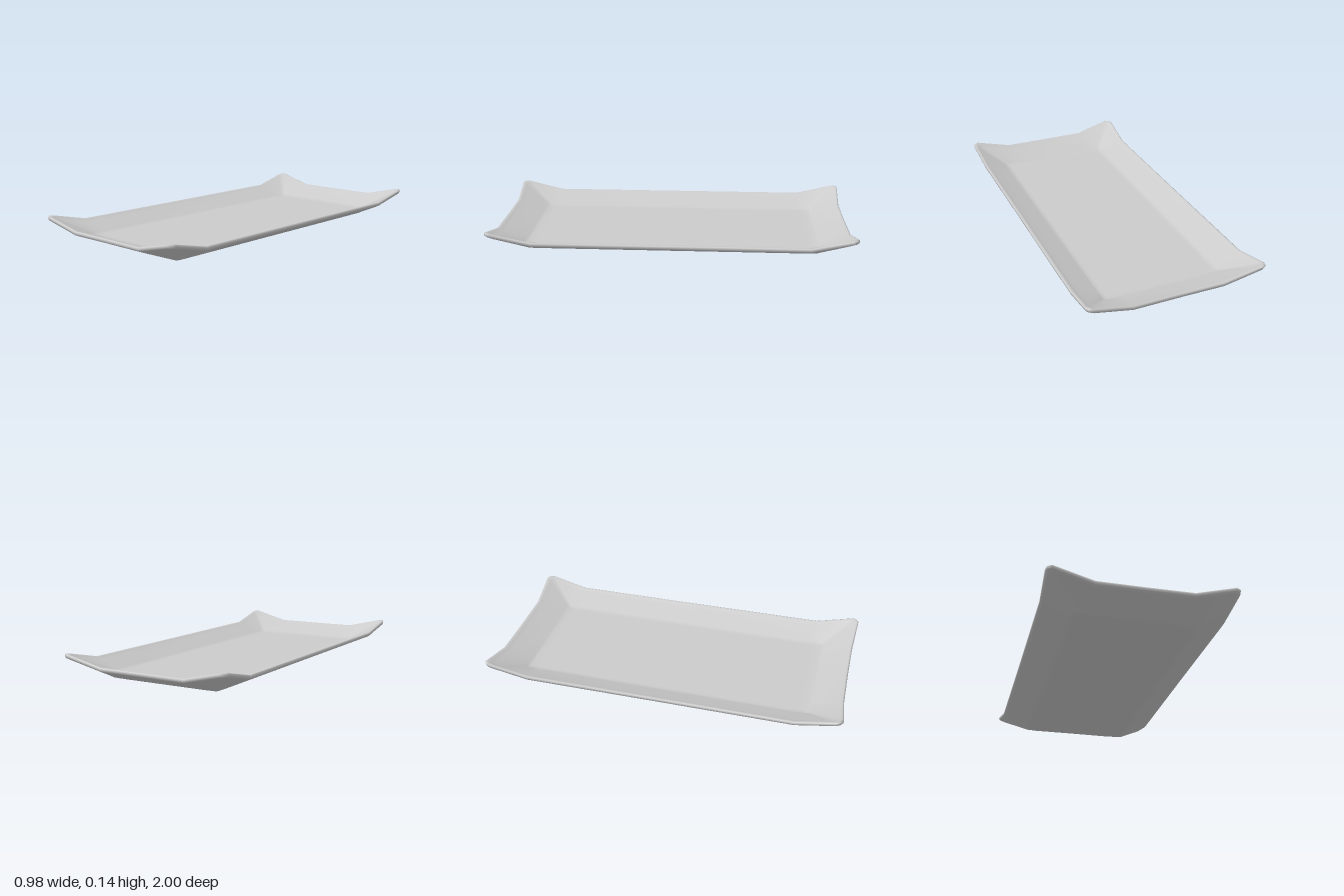
import * as THREE from 'three';

// One quarter of the outline: floor x, floor z, rim x, rim z, rim height
const QUARTER = [
  [0.32, 0, 0.482, 0, 0.095],
  [0.32, 0.74, 0.483, 0.75, 0.095],
  [0.32, 0.785, 0.492, 0.965, 0.145],
  [0.316, 0.796, 0.485, 0.985, 0.148],
  [0.305, 0.8, 0.463, 1.0, 0.147],
  [0.24, 0.8, 0.25, 0.987, 0.095],
  [0, 0.8, 0, 0.985, 0.095],
];

// Cross-section from underside centre, around the lip, to the inner floor centre:
// floor scale, blend from floor to rim, floor height, offset from rim height
const SECTION = [
  [0, 0, 0, 0],
  [0.95, 0, 0, 0],
  [1, 0.02, 0, -0.024],
  [1, 0.1, 0, -0.024],
  [1, 0.9, 0, -0.024],
  [1, 0.985, 0, -0.023],
  [1, 1, 0, -0.014],
  [1, 0.99, 0, -0.005],
  [1, 0.95, 0.03, 0],
  [1, 0.88, 0.03, 0],
  [1, 0.78, 0.03, -0.004],
  [1, 0.1, 0.03, -0.004],
  [1, 0.02, 0.03, -0.004],
  [0.95, 0, 0.03, 0],
  [0, 0, 0.03, 0],
];

// Mirrors the quarter into the full closed outline
function fullOutline() {
  const loop = [];
  for (const [sx, sz] of [[1, 1], [-1, 1], [-1, -1], [1, -1]]) {
    const part = QUARTER.map(([fx, fz, rx, rz, h]) => [fx * sx, fz * sz, rx * sx, rz * sz, h]);
    if (sx * sz < 0) part.reverse();
    loop.push(...part.slice(0, -1));
  }
  return loop;
}

function trayGeometry() {
  const outline = fullOutline();
  const n = outline.length;
  const lerp = THREE.MathUtils.lerp;
  const positions = [];
  const indices = [];
  SECTION.forEach(([scale, t, floorY, offset], j) => {
    outline.forEach(([fx, fz, rx, rz, h], i) => {
      positions.push(lerp(fx * scale, rx, t), lerp(floorY, h + offset, t), lerp(fz * scale, rz, t));
      if (j === SECTION.length - 1) return;
      const a = j * n + i;
      const b = j * n + (i + 1) % n;
      // The first and last bands close to a point
      if (j < SECTION.length - 2) indices.push(a, a + n, b + n);
      else indices.push(a, a + n, b);
      if (j > 0 && j < SECTION.length - 2) indices.push(a, b + n, b);
    });
  });
  const geometry = new THREE.BufferGeometry();
  geometry.setAttribute('position', new THREE.Float32BufferAttribute(positions, 3));
  geometry.setIndex(indices);
  geometry.computeVertexNormals();
  return geometry;
}

export function createModel() {
  const group = new THREE.Group();
  group.name = 'servingTray';
  const material = new THREE.MeshStandardMaterial({ color: 0xcccccc });
  // Shallow tray with sloped sides and raised corners
  const tray = new THREE.Mesh(trayGeometry(), material);
  tray.name = 'tray';
  group.add(tray);
  return group;
}
